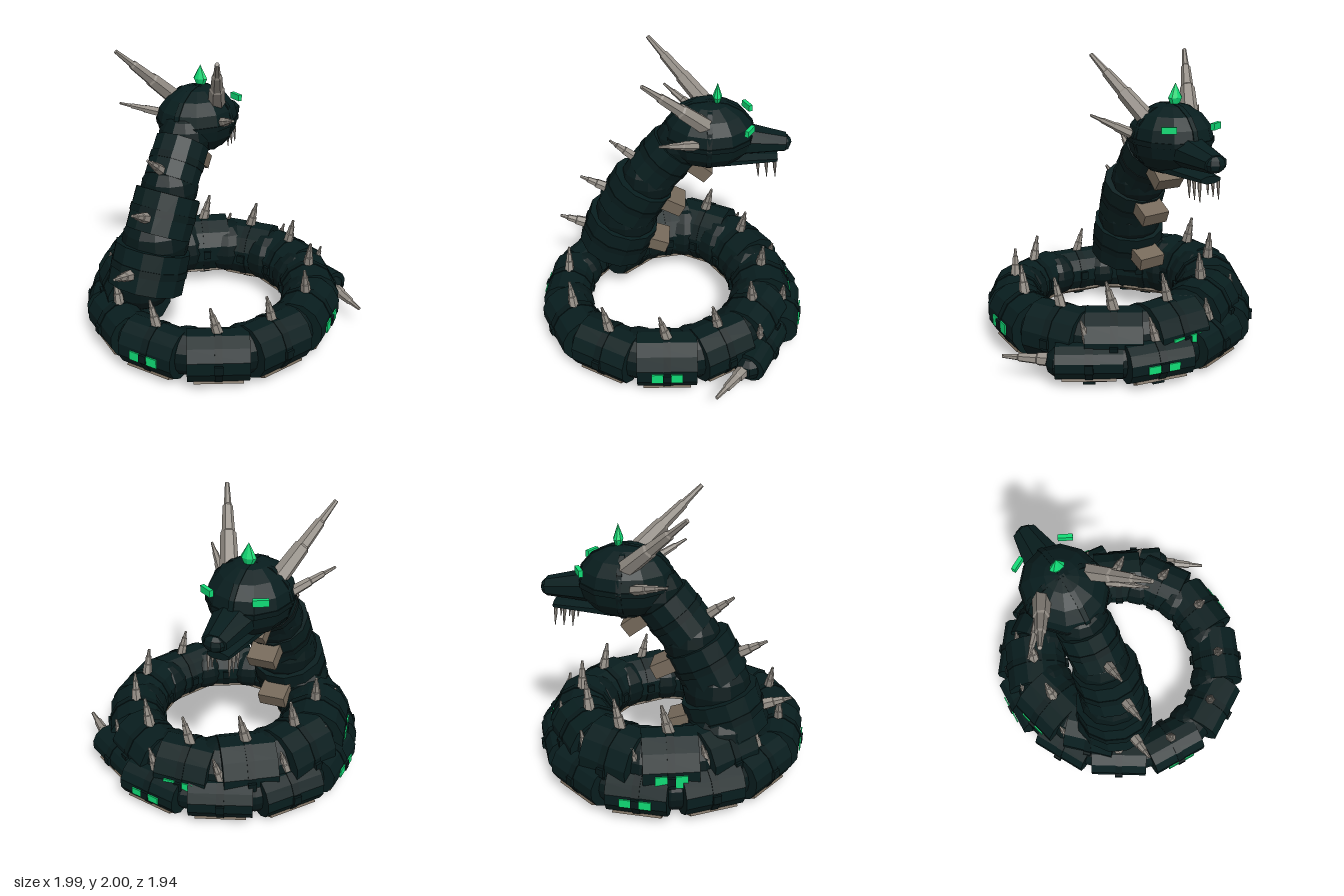
import * as THREE from 'three';

const mat = (name, color) => {
  const m = new THREE.MeshStandardMaterial({ color, flatShading: true });
  m.name = name;
  return m;
};
const V = (x, y, z) => new THREE.Vector3(x, y, z);
const UP = V(0, 1, 0);

export function createModel() {
  const scale = mat('dark teal scales', 0x081d1e);
  const joint = mat('deep teal joints', 0x07191a);
  const bone = mat('bone grey', 0x958f87);
  const belly = mat('belly tan', 0x75695a);
  const glow = mat('glowing green', 0x10dc76);

  const root = new THREE.Group();
  root.name = 'coiledSerpent';

  function add(parent, name, geo, material, x = 0, y = 0, z = 0) {
    const m = new THREE.Mesh(geo, material);
    m.name = name;
    m.position.set(x, y, z);
    parent.add(m);
    return m;
  }
  const box = (w, h, d) => new THREE.BoxGeometry(w, h, d);

  // Twelve-sided drum along z with a flat face on each side
  const drum = (r, len) => new THREE.CylinderGeometry(r, r, len, 12)
    .rotateY(Math.PI / 12).rotateX(Math.PI / 2);

  // Stepped spike running from a base point to a tip
  function spike(parent, name, from, to, r) {
    const len = from.distanceTo(to);
    const profile = [[0, 0], [1, 0], [0.85, 0.4], [0.7, 0.42], [0.55, 0.72], [0.4, 0.74], [0.24, 1], [0, 1]]
      .map(([a, b]) => new THREE.Vector2(a * r, b * len));
    const m = add(parent, name, new THREE.LatheGeometry(profile, 6), bone, from.x, from.y, from.z);
    m.quaternion.setFromUnitVectors(UP, to.clone().sub(from).normalize());
    return m;
  }

  // Body stations from tail to neck: x, y, z, radius
  const coil = [
    [0.52, 0.165, -0.64, 0.118], [0.13, 0.17, -0.82, 0.13], [-0.32, 0.18, -0.745, 0.14],
    [-0.68, 0.185, -0.48, 0.147], [-0.825, 0.19, -0.09, 0.152], [-0.72, 0.195, 0.35, 0.157],
    [-0.45, 0.2, 0.65, 0.162], [-0.07, 0.203, 0.785, 0.168], [0.34, 0.213, 0.7, 0.176],
    [0.6, 0.223, 0.42, 0.185], [0.685, 0.233, 0.02, 0.195], [0.57, 0.243, -0.33, 0.2],
    [0.31, 0.253, -0.58, 0.207], [-0.05, 0.268, -0.66, 0.216], [-0.4, 0.3, -0.52, 0.225],
    [-0.64, 0.32, -0.25, 0.232], [-0.67, 0.33, 0.08, 0.235], [-0.5, 0.33, 0.38, 0.23],
  ];
  const neck = [[-0.34, 0.56, 0.42, 0.27], [-0.3, 0.92, 0.28, 0.232], [-0.3, 1.23, 0.07, 0.195]];
  // Shift along each neck segment of its spike and its belly plate
  const spikeShift = [-0.03, -0.05, -0.12];
  const plateShift = [0.02, 0.08, 0.12];
  const stations = [...coil, ...neck];
  const pos = stations.map(([x, y, z]) => V(x, y, z));
  const tailBase = V(0.74, 0.165, -0.51);
  const headEnd = V(-0.3, 1.45, -0.13);

  stations.forEach(([, , , r], i) => {
    const n = i - coil.length;
    const isNeck = n >= 0;
    const prev = pos[i - 1] || tailBase;
    const next = pos[i + 1] || headEnd;
    const tangent = next.clone().sub(prev);
    if (!isNeck) tangent.y = 0;
    else if (n === 0) tangent.set(0.03, 0.4, -0.14);
    tangent.normalize();
    const side = (isNeck ? V(0, 0, 1) : UP.clone()).cross(tangent).normalize();
    const dorsal = tangent.clone().cross(side);
    const seg = new THREE.Group();
    seg.name = isNeck ? 'neckSegment' : 'coilSegment';
    seg.quaternion.setFromRotationMatrix(new THREE.Matrix4().makeBasis(side, dorsal, tangent));
    seg.position.copy(pos[i]);
    root.add(seg);

    // Armoured shell and raised centre band
    const len = isNeck ? 0.29 : i < 4 ? 0.43 : i < 11 ? 0.41 : 0.37;
    add(seg, 'shell', drum(r, len), scale);
    add(seg, 'centreBand', drum(r + 0.006, 0.05), joint);

    // Back spike, leaning toward the tail on the coil
    const h = isNeck ? 0.21 : 0.12 + r * 0.38;
    const sz = isNeck ? spikeShift[n] : 0;
    spike(seg, 'backSpike', V(0, r * 0.92, sz), V(0, r * 0.92 + h, isNeck ? sz : -0.05), 0.025 + r * 0.065);

    if (isNeck) {
      add(seg, 'bellyPlate', box(0.2, 0.16, 0.1), belly, 0, -r - 0.04, plateShift[n]);
    } else {
      // Side and keel studs, with a belly plate on each side of the keel
      add(seg, 'keelStud', box(0.09, 0.05, 0.08), joint, 0, -r, 0);
      for (const s of [-1, 1]) {
        add(seg, 'sideStud', box(0.04, 0.06, 0.055), joint, s * (r - 0.004), 0, 0);
        const plate = add(seg, 'bellyPlate', box(r * 0.5, 0.034, len * 0.8), belly, s * r * 0.483, -r * 0.837, 0);
        plate.rotation.z = s * Math.PI / 6;
      }
    }

    // Paired lights on the outer face of every third segment
    if (!isNeck && i % 3 === 1) for (const s of [-1, 1])
      add(seg, 'sideLight', box(0.0095, r * 0.39, 0.08), glow, -r * 0.966 - 0.0085, -0.006, s * 0.066);

    // Rounded joint filling the gap to the next segment
    if (i + 1 < stations.length) {
      const mid = pos[i].clone().lerp(pos[i + 1], 0.5);
      const jr = (r + stations[i + 1][3]) * 0.5 * 0.95;
      add(root, 'joint', new THREE.SphereGeometry(jr, 12, 8), joint, mid.x, mid.y, mid.z);
    }
  });

  // Neck-to-head joint and tail point
  add(root, 'headJoint', new THREE.SphereGeometry(0.19, 12, 8), joint, -0.3, 1.38, -0.06);
  spike(root, 'tailPoint', V(0.67, 0.165, -0.56), V(0.985, 0.165, -0.32), 0.05);
  add(root, 'tailJoint', new THREE.SphereGeometry(0.1, 10, 6), joint, 0.68, 0.155, -0.55);

  // Head, facing -z
  const head = new THREE.Group();
  head.name = 'head';
  head.position.set(-0.3, 1.46, -0.25);
  root.add(head);
  add(head, 'skull', new THREE.SphereGeometry(0.285, 12, 8), scale).scale.set(1, 0.86, 1.13);
  const brow = add(head, 'skullBand', new THREE.CylinderGeometry(0.288, 0.288, 0.035, 12), joint);
  brow.scale.z = 1.13;
  const crest = add(head, 'skullCrest', new THREE.CylinderGeometry(0.288, 0.288, 0.035, 16).rotateZ(Math.PI / 2), scale);
  crest.scale.set(1, 0.86, 1.13);
  const cheek = add(head, 'cheekBand', new THREE.CylinderGeometry(0.288, 0.288, 0.035, 12).rotateX(Math.PI / 2), joint);
  cheek.scale.y = 0.86;

  // Upper snout with a blunt nose, and the lower jaw
  const snout = add(head, 'snout', new THREE.CylinderGeometry(0.078, 0.145, 0.36, 8)
    .rotateY(Math.PI / 8).rotateX(-Math.PI / 2), scale, 0, -0.06, -0.36);
  snout.scale.set(1.12, 0.8, 1);
  snout.rotation.x = -0.08;
  add(head, 'nose', new THREE.SphereGeometry(0.08, 8, 6), scale, 0, -0.077, -0.52).scale.set(1, 0.75, 0.8);
  const jaw = add(head, 'lowerJaw', new THREE.CylinderGeometry(0.08, 0.15, 0.42, 8)
    .rotateY(Math.PI / 8).rotateX(-Math.PI / 2), scale, 0, -0.187, -0.28);
  jaw.scale.y = 0.33;

  // Mirrored horns, eyes and fangs
  for (const s of [-1, 1]) {
    spike(head, 'mainHorn', V(s * 0.17, 0.14, 0.03), V(s * 0.38, 0.54, 0.44), 0.062);
    spike(head, 'cheekHorn', V(s * 0.24, 0.03, 0.09), V(s * 0.442, 0.14, 0.33), 0.036);
    const eye = add(head, 'eye', box(0.1, 0.045, 0.028), glow, s * 0.18, 0.11, -0.271);
    eye.rotation.y = -s * 0.5;
    [-0.35, -0.41, -0.47].forEach((z) =>
      spike(head, 'fang', V(s * 0.072, -0.2, z), V(s * 0.072, -0.325, z - 0.012), 0.013));
  }

  // Crown crystal
  const gem = new THREE.LatheGeometry([[0, 0], [0.035, 0], [0.055, 0.04], [0, 0.14]]
    .map(([a, b]) => new THREE.Vector2(a, b)), 8);
  add(head, 'crownCrystal', gem, glow, 0, 0.24, -0.05).scale.z = 0.6;

  return root;
}
